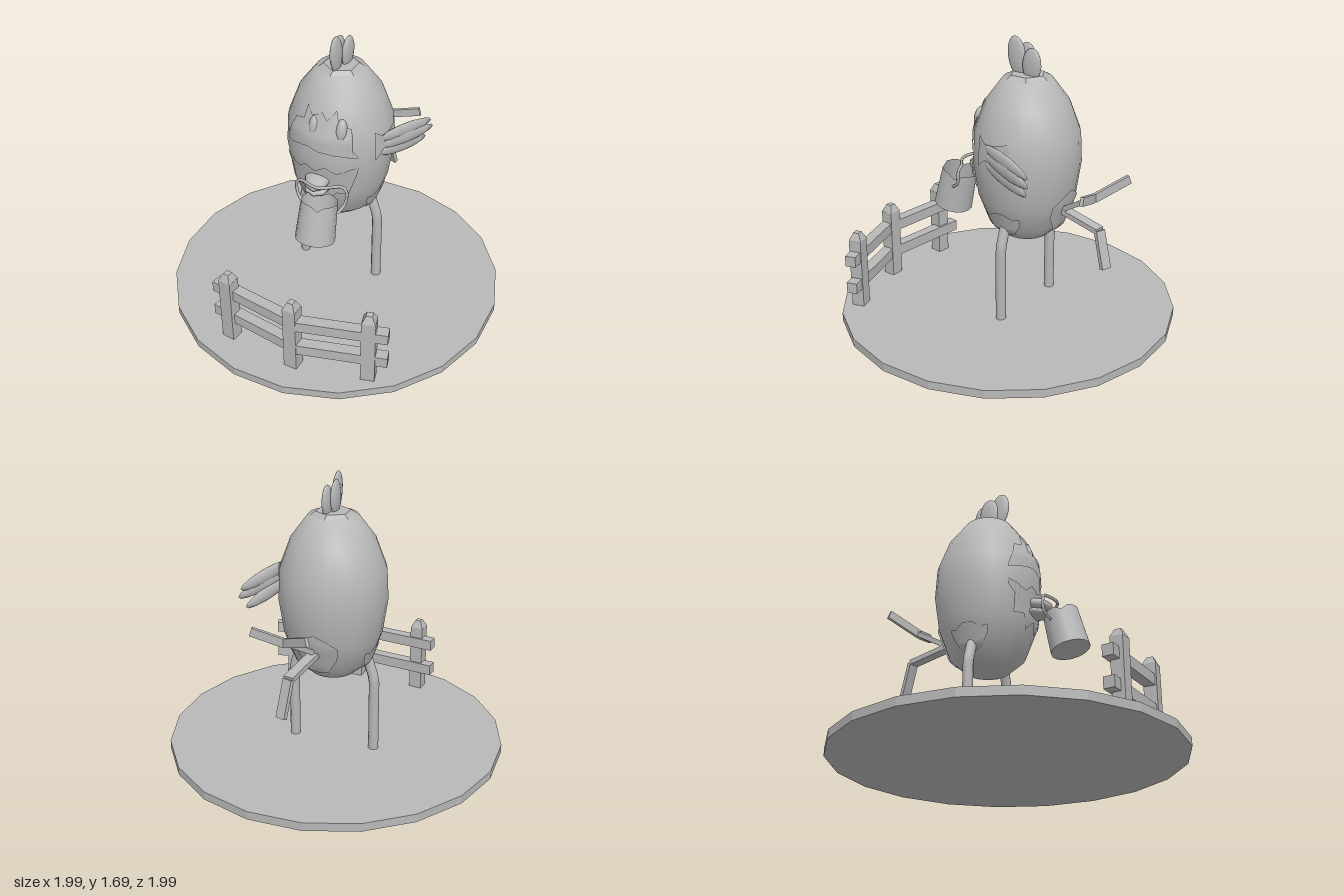
import * as THREE from 'three';

const grey = new THREE.MeshStandardMaterial({ color: 0xb8b8b8 });
grey.name = 'plain grey';
const greySheet = new THREE.MeshStandardMaterial({ color: 0xb8b8b8, side: THREE.DoubleSide });
greySheet.name = 'plain grey sheet';

const V = (x, y, z) => new THREE.Vector3(x, y, z);
const CX = -0.03, CZ = -0.115; // body axis

// body outline as [radius, height]
const PROFILE = [[0, 0.49], [0.13, 0.53], [0.22, 0.61], [0.283, 0.78], [0.312, 0.98],
  [0.303, 1.16], [0.24, 1.33], [0.14, 1.465], [0, 1.48]];

function radiusAt(y) {
  for (let i = 1; i < PROFILE.length; i++) {
    const [r0, y0] = PROFILE[i - 1], [r1, y1] = PROFILE[i];
    if (y <= y1) return r0 + (r1 - r0) * Math.max(0, (y - y0) / (y1 - y0));
  }
  return 0;
}

function add(group, name, geometry, pos = [0, 0, 0], rot = [0, 0, 0], material = grey) {
  const m = new THREE.Mesh(geometry, material);
  m.name = name;
  m.position.set(...pos);
  m.rotation.set(...rot);
  group.add(m);
  return m;
}

function flat(geometry) {
  const g = geometry.toNonIndexed();
  g.computeVertexNormals();
  return g;
}

// places a part lying along +z so that it spans a to b
function span(group, name, geometry, a, b) {
  const m = add(group, name, geometry);
  m.position.copy(a).add(b).multiplyScalar(0.5);
  m.lookAt(b);
  return m;
}

const strip = (group, name, a, b, w, t) =>
  span(group, name, new THREE.BoxGeometry(w, t, a.distanceTo(b)), a, b);

// thin jagged patch hugging the body; columns are [angle, low, high], angle 0 faces front
function patch(group, name, columns) {
  const pos = [], index = [], rows = 8, sub = 5;
  const n = (columns.length - 1) * sub + 1;
  for (let i = 0; i < n; i++) {
    const k = Math.min(Math.floor(i / sub), columns.length - 2), f = i / sub - k;
    const [a, lo, hi] = columns[k].map((v, j) => v + (columns[k + 1][j] - v) * f);
    for (let j = 0; j <= rows; j++) {
      const y = lo + (hi - lo) * j / rows, r = radiusAt(y) + 0.007;
      pos.push(CX + r * Math.sin(a), y, CZ + r * Math.cos(a));
      if (i < n - 1 && j < rows) {
        const p = i * (rows + 1) + j, q = p + rows + 1;
        index.push(p, q, q + 1, p, q + 1, p + 1);
      }
    }
  }
  const g = new THREE.BufferGeometry();
  g.setAttribute('position', new THREE.Float32BufferAttribute(pos, 3));
  g.setIndex(index);
  g.computeVertexNormals();
  add(group, name, g, [0, 0, 0], [0, 0, 0], greySheet);
}

function makeBird() {
  const bird = new THREE.Group();
  bird.name = 'bird';
  add(bird, 'body', new THREE.LatheGeometry(PROFILE.map(p => new THREE.Vector2(...p)), 24), [CX, 0, CZ]);

  // face, throat, thigh, wing root and rump markings
  patch(bird, 'faceMask', [[-0.75, 1.06, 1.07], [-0.6, 1.07, 1.2], [-0.72 + 0.15, 1.07, 1.23],
    [-0.34, 1.09, 1.25], [-0.32, 1.09, 1.33], [-0.14, 1.1, 1.28], [0.08, 1.08, 1.31], [0.2, 1.08, 1.27],
    [0.4, 1.07, 1.33], [0.45, 1.07, 1.26], [0.7, 1.06, 1.23], [0.62, 1.06, 1.13], [0.8, 1.05, 1.06]]);
  patch(bird, 'throatPatch', [[-0.75, 0.95, 0.98], [-0.5, 0.87, 0.96], [-0.6, 0.79, 0.96], [-0.35, 0.8, 0.94],
    [-0.2, 0.72, 0.98], [0, 0.78, 0.95], [0.2, 0.72, 0.99], [0.4, 0.8, 0.95], [0.65, 0.8, 0.98], [0.8, 0.95, 0.99]]);
  for (const s of [-1, 1]) {
    const c = s * Math.PI / 2;
    patch(bird, 'thighPatch', [[c - 0.45, 0.68, 0.71], [c - 0.3, 0.59, 0.7], [c - 0.1, 0.57, 0.73],
      [c + 0.1, 0.57, 0.73], [c + 0.3, 0.59, 0.7], [c + 0.45, 0.66, 0.71]]);
  }
  patch(bird, 'wingRootPatch', [[1.15, 1.0, 1.18], [1.35, 1.05, 1.14], [1.6, 1.0, 1.15], [1.85, 1.1, 1.17]]);
  patch(bird, 'rumpPatch', [[2.7, 0.7, 0.78], [2.9, 0.61, 0.82], [3.14, 0.59, 0.86], [3.4, 0.61, 0.82], [3.6, 0.7, 0.78]]);

  // crest of three thin lobes on a small cap
  add(bird, 'crestCap', flat(new THREE.CylinderGeometry(0.1, 0.135, 0.025, 6)), [CX, 1.475, CZ]);
  const lobes = [[-0.025, 1.575, -0.045, 0.115, 0.15], [-0.04, 1.56, -0.105, 0.1, 0], [-0.01, 1.545, -0.155, 0.095, -0.08]];
  for (const [x, y, z, h, tilt] of lobes) {
    add(bird, 'crestLobe', new THREE.SphereGeometry(1, 12, 10), [x, y, z], [tilt, 0, 0]).scale.set(0.022, h, 0.063);
  }

  // eyes
  for (const [x, z, yaw] of [[-0.055, 0.15, -0.1], [0.1, 0.125, 0.45]]) {
    add(bird, 'eye', new THREE.SphereGeometry(1, 12, 10), [x, 1.215, z], [-0.2, yaw, 0]).scale.set(0.033, 0.07, 0.033);
  }

  // beak halves
  for (const [y, h, len] of [[0.885, 0.042, 0.1], [0.835, 0.03, 0.085]]) {
    add(bird, 'beak', new THREE.SphereGeometry(1, 8, 8), [-0.02, y, 0.185], [0.1, 0.2, 0]).scale.set(0.075, h, len);
  }

  // swept wing of three feathers
  const feathers = [[1.125, 1.07, 0], [1.075, 1.025, 0.01], [1.03, 0.96, -0.02]];
  for (const [y0, y1, d] of feathers) {
    const a = V(0.26, y0, -0.02), b = V(0.4 + d, y1, -0.42 - d);
    span(bird, 'wingFeather', new THREE.SphereGeometry(1, 8, 8), a, b)
      .scale.set(0.018, 0.042, a.distanceTo(b) / 2);
  }

  // legs bent below the thigh
  for (const s of [-1, 1]) {
    const path = new THREE.CurvePath();
    const pts = [V(CX + s * 0.19, 0.68, -0.11), V(CX + s * 0.25, 0.5, -0.11), V(CX + s * 0.25, 0.05, -0.11)];
    path.add(new THREE.LineCurve3(pts[0], pts[1]));
    path.add(new THREE.LineCurve3(pts[1], pts[2]));
    add(bird, 'leg', new THREE.TubeGeometry(path, 12, 0.03, 10));
  }

  // tail strips
  const fork = V(0.05, 0.89, -0.62), bend = V(0.02, 0.69, -0.64);
  strip(bird, 'tailStem', V(-0.01, 0.74, -0.38), fork, 0.04, 0.03);
  strip(bird, 'tailTip', fork, V(-0.13, 0.97, -0.73), 0.02, 0.05);
  strip(bird, 'tailTip', fork, V(0.23, 0.94, -0.65), 0.02, 0.05);
  strip(bird, 'tailStem', V(-0.02, 0.73, -0.38), bend, 0.06, 0.03);
  strip(bird, 'tailTip', bend, V(0.04, 0.48, -0.7), 0.06, 0.025);
  return bird;
}

function makeBucket() {
  const bucket = new THREE.Group();
  bucket.name = 'bucket';
  const pail = new THREE.Group();
  pail.name = 'pail';
  pail.position.set(0.06, 0.73, 0.335);
  pail.rotation.x = -0.236;
  // wall with a notched rim
  const wall = new THREE.CylinderGeometry(0.105, 0.115, 0.24, 16, 1, true);
  const p = wall.attributes.position;
  for (let i = 0; i < p.count; i++) {
    if (p.getY(i) > 0 && (i % 17) % 4 === 1) p.setY(i, 0.095);
  }
  add(pail, 'pailWall', wall, [0, 0, 0], [0, 0, 0], greySheet);
  add(pail, 'pailBase', new THREE.CylinderGeometry(0.114, 0.114, 0.008, 16), [0, -0.116, 0]);
  bucket.add(pail);
  // wire handle
  const pts = [V(-0.05, 0.77, 0.29), V(-0.1, 0.81, 0.27), V(-0.105, 0.895, 0.27), V(-0.08, 0.912, 0.27),
    V(0.04, 0.915, 0.295), V(0.16, 0.912, 0.22), V(0.185, 0.89, 0.22), V(0.18, 0.81, 0.23), V(0.16, 0.77, 0.28)];
  add(bucket, 'handle', new THREE.TubeGeometry(new THREE.CatmullRomCurve3(pts), 40, 0.009, 6));
  return bucket;
}

function makeFence() {
  const fence = new THREE.Group();
  fence.name = 'fence';
  // square posts with tapered tops
  for (const [x, z, yaw] of [[-0.275, 0.765, -0.11], [0.155, 0.795, 0], [0.572, 0.68, 0.29]]) {
    const post = new THREE.Group();
    post.name = 'fencePost';
    post.position.set(x, 0, z);
    post.rotation.y = yaw;
    add(post, 'postShaft', new THREE.BoxGeometry(0.08, 0.43, 0.075), [0, 0.26, 0]);
    add(post, 'postTop', flat(new THREE.CylinderGeometry(0.025, 0.0548, 0.045, 4, 1, false, Math.PI / 4)), [0, 0.4975, 0]);
    fence.add(post);
  }
  for (const y of [0.375, 0.2]) {
    strip(fence, 'fenceRail', V(-0.38, y, 0.735), V(0.19, y, 0.8), 0.065, 0.066);
    strip(fence, 'fenceRail', V(0.18, y, 0.8), V(0.675, y, 0.648), 0.065, 0.066);
  }
  return fence;
}

export function createModel() {
  const model = new THREE.Group();
  model.name = 'birdScene';
  add(model, 'groundDisc', flat(new THREE.CylinderGeometry(1, 1, 0.05, 20)), [0, 0.025, 0], [0, 0.195, 0]);
  model.add(makeBird(), makeBucket(), makeFence());
  return model;
}
